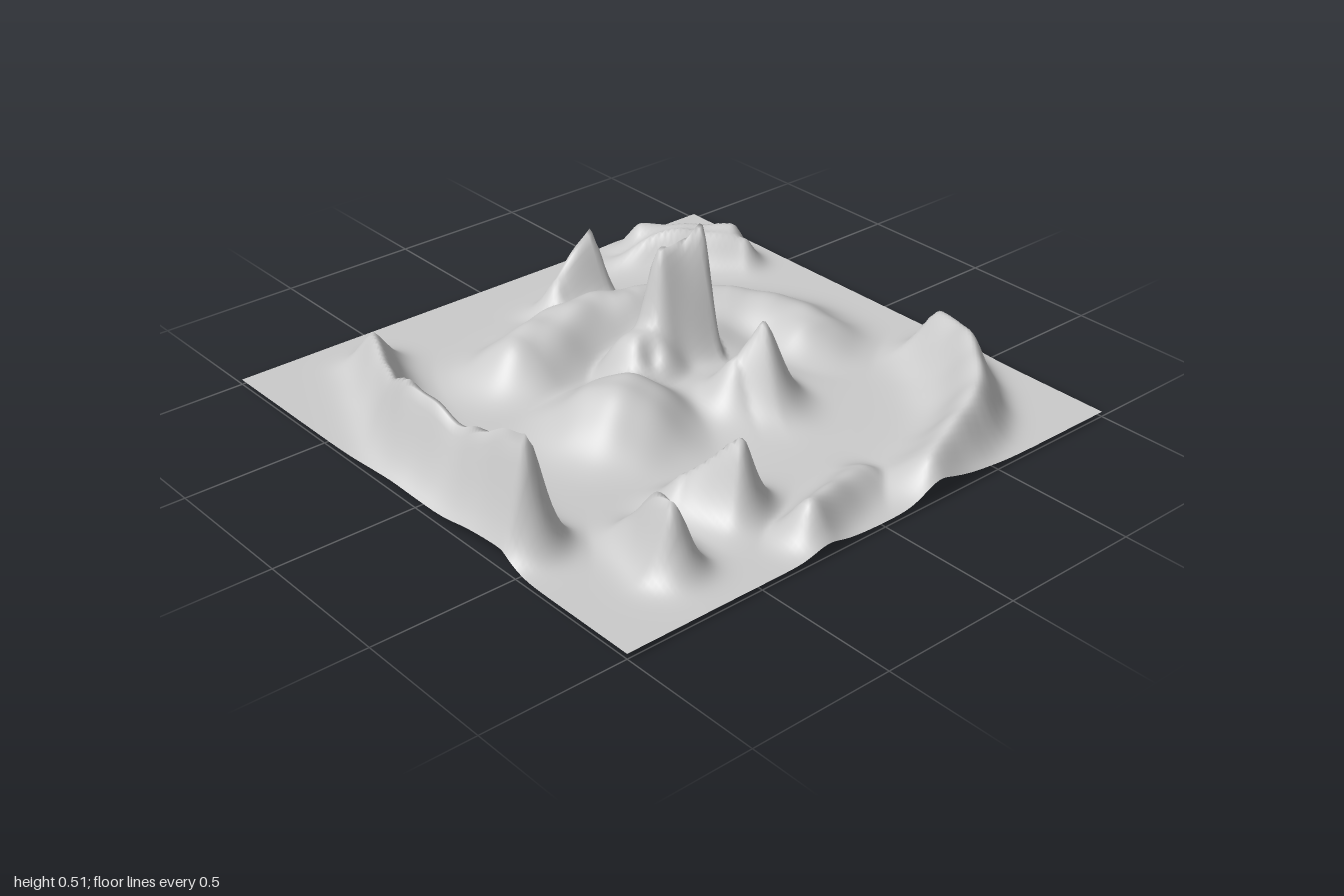
import * as THREE from 'three';

const BASE = 0.025;

// A ridge follows a smooth crest through [x, z, height] points.
// left / right: slope width on each side; power: slope profile; end: steepness past the last point.
function ridge(crest, { left = 0.075, right = left, power = 1.6, end = 1.3 } = {}) {
  const curve = new THREE.CatmullRomCurve3(crest.map(([x, z, h]) => new THREE.Vector3(x, h, z)));
  const pts = curve.getPoints(crest.length > 2 ? 8 * (crest.length - 1) : 1);
  const tip = (left + right) / 2;
  return (x, z) => {
    let best = 0;
    for (let i = 0; i < pts.length - 1; i++) {
      const a = pts[i], b = pts[i + 1];
      const len = Math.hypot(b.x - a.x, b.z - a.z);
      const dx = (b.x - a.x) / len, dz = (b.z - a.z) / len;
      const rx = x - a.x, rz = z - a.z;
      const along = rx * dx + rz * dz, side = dx * rz - dz * rx;
      const past = Math.max(0, along - len) * (i === pts.length - 2 ? end : 1) + Math.max(0, -along);
      const d = Math.hypot(side / (side > 0 ? right : left), past / tip);
      const h = THREE.MathUtils.lerp(a.y, b.y, THREE.MathUtils.clamp(along / len, 0, 1));
      best = Math.max(best, h * Math.exp(-Math.pow(d, power)));
    }
    return best;
  };
}

// A round mound, flatter on top with a higher power
function mound(cx, cz, radius, height, power) {
  return (x, z) => height * Math.exp(-Math.pow(Math.hypot(x - cx, z - cz) / radius, power));
}

function createFeatures() {
  return [
    // long western wall, rising to a cliff
    ridge([[-0.62, -0.78, 0.14], [-0.78, -0.42, 0.18], [-0.86, -0.2, 0.29], [-0.87, 0.1, 0.27], [-0.89, 0.3, 0.35], [-0.89, 0.43, 0.41]],
      { left: 0.07, end: 1.6 }),
    // south-west and southern peaks
    ridge([[-0.62, 0.58, 0.09], [-0.64, 0.7, 0.22], [-0.66, 0.8, 0.25]], { left: 0.065, end: 1.5 }),
    ridge([[-0.38, 0.53, 0.11], [-0.29, 0.68, 0.27]], { left: 0.08, end: 1.4 }),
    // small southern ridge
    ridge([[-0.23, 0.91, 0.13], [0.1, 0.8, 0.06]], { left: 0.08, right: 0.07, power: 2, end: 1 }),
    // south-east wall
    ridge([[0.25, 0.94, 0.11], [0.6, 0.81, 0.18], [0.8, 0.58, 0.2], [0.89, 0.38, 0.16]], { left: 0.11, right: 0.07, power: 1.8, end: 1.8 }),
    // north-east double ridge
    ridge([[0.63, -0.87, 0.12], [0.86, -0.63, 0.13]], { left: 0.065, right: 0.085, power: 2 }),
    ridge([[0.5, -0.82, 0.05], [0.64, -0.75, 0.13], [0.85, -0.55, 0.11]], { left: 0.07, right: 0.055 }),
    // northern peak
    ridge([[0.09, -0.69, 0.14], [0.25, -0.7, 0.29]], { left: 0.06, right: 0.085, end: 1.8 }),
    // broad curling arm
    ridge([[-0.28, -0.41, 0.15], [0.02, -0.45, 0.17], [0.4, -0.34, 0.13], [0.6, -0.1, 0.11], [0.6, 0.05, 0.1]],
      { left: 0.16, right: 0.15, power: 2.4 }),
    // tower with a sheer eastern side, and the cone south of it
    ridge([[0.12, -0.17, 0.43], [0.265, -0.135, 0.49]], { left: 0.06, right: 0.105, power: 1.9, end: 3 }),
    ridge([[0.13, 0.2, 0.18], [0.21, 0.23, 0.31]], { left: 0.11 }),
    // dome, foot of the tower, central plateau joining it to the arm
    mound(-0.24, 0.07, 0.21, 0.165, 2.6),
    mound(0.01, -0.12, 0.14, 0.19, 3),
    mound(0.24, -0.22, 0.24, 0.1, 2.5),
    mound(0.12, 0.02, 0.3, 0.06, 2.5),
  ];
}

function terrainHeight(features, x, z) {
  // blend the features so that the tallest one dominates
  const raised = Math.pow(features.reduce((sum, f) => sum + f(x, z) ** 4, 0), 0.25);
  // uneven slopes, a small pit beside the tower, a shallow valley in front
  const rough = 1 + 0.04 * Math.sin(31 * x + 9 * z) * Math.sin(27 * z - 7 * x);
  const pit = 0.05 * Math.exp(-((x + 0.02) ** 2 + (z + 0.05) ** 2) / 0.0012);
  const valley = 0.022 * Math.exp(-(((x + 0.2) / 0.35) ** 2) - ((z - 0.38) / 0.17) ** 2);
  return BASE + raised * rough - pit - valley;
}

export function createModel() {
  const group = new THREE.Group();
  group.name = 'landscape';

  // square sheet raised by the height rule
  const features = createFeatures();
  const geometry = new THREE.PlaneGeometry(2, 2, 128, 128).rotateX(-Math.PI / 2);
  const pos = geometry.attributes.position;
  for (let i = 0; i < pos.count; i++) {
    pos.setY(i, terrainHeight(features, pos.getX(i), pos.getZ(i)));
  }
  geometry.computeBoundingBox();
  geometry.translate(0, -geometry.boundingBox.min.y, 0);
  geometry.computeVertexNormals();

  const terrain = new THREE.Mesh(
    geometry,
    new THREE.MeshStandardMaterial({ color: 0xcccccc, side: THREE.DoubleSide }),
  );
  terrain.name = 'terrain';
  group.add(terrain);
  return group;
}
